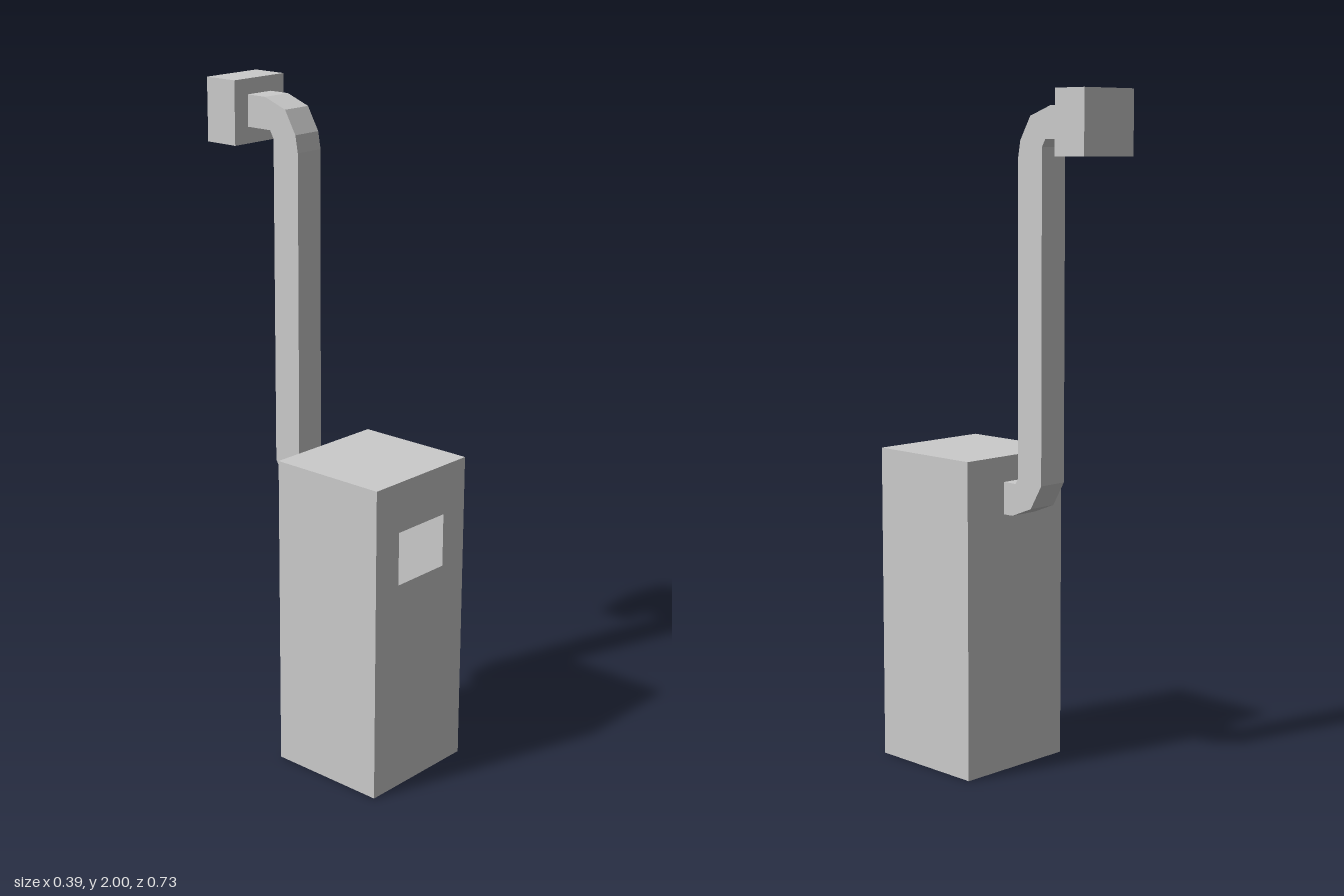
import * as THREE from 'three';

const material = new THREE.MeshStandardMaterial({ color: 0xcccccc, flatShading: true, side: THREE.DoubleSide });

function part(name, geometry, x = 0, y = 0, z = 0) {
  const mesh = new THREE.Mesh(geometry, material);
  mesh.name = name;
  mesh.position.set(x, y, z);
  return mesh;
}

function rectangle(PathType, x0, y0, x1, y1) {
  return new PathType([[x0, y0], [x1, y0], [x1, y1], [x0, y1]].map(p => new THREE.Vector2(...p)));
}

export function createModel() {
  const model = new THREE.Group();
  const back = -0.006, front = 0.367, halfWidth = 0.194, height = 0.95;

  // Hollow cabinet: five thin walls, with the front side left off
  const walls = new THREE.BoxGeometry(halfWidth * 2, height, front - back);
  const index = Array.from(walls.index.array);
  index.splice(24, 6);
  walls.setIndex(index);
  walls.clearGroups();
  model.add(part('cabinetWalls', walls, 0, height / 2, (front + back) / 2));

  // Front panel with its rectangular opening into the hollow cabinet
  const panel = rectangle(THREE.Shape, -halfWidth, 0, halfWidth, height);
  panel.holes.push(rectangle(THREE.Path, -0.097, 0.64, 0.1, 0.8));
  model.add(part('frontPanel', new THREE.ShapeGeometry(panel), 0, 0, front));

  // Square duct: side profile in (z, y) with faceted elbows, extruded across x
  const ductWidth = 0.094;
  const profile = [
    [back, 0.778], [-0.04, 0.778], [-0.115, 0.808], [-0.157, 0.88],
    [-0.157, 1.84], [-0.17, 1.863], [-0.257, 1.863], [-0.257, 1.955],
    [-0.189, 1.955], [-0.111, 1.927], [-0.072, 1.86], [-0.063, 1.81],
    [-0.063, 0.89], [-0.053, 0.874], [back, 0.874],
  ].map(p => new THREE.Vector2(...p));
  const duct = new THREE.ExtrudeGeometry(new THREE.Shape(profile), { depth: ductWidth, bevelEnabled: false });
  duct.translate(0, 0, -ductWidth / 2).rotateY(-Math.PI / 2);
  model.add(part('duct', duct));

  // Outlet box at the top of the duct
  model.add(part('outletBox', new THREE.BoxGeometry(0.2, 0.185, 0.11), 0, 1.9075, -0.312));

  return model;
}
